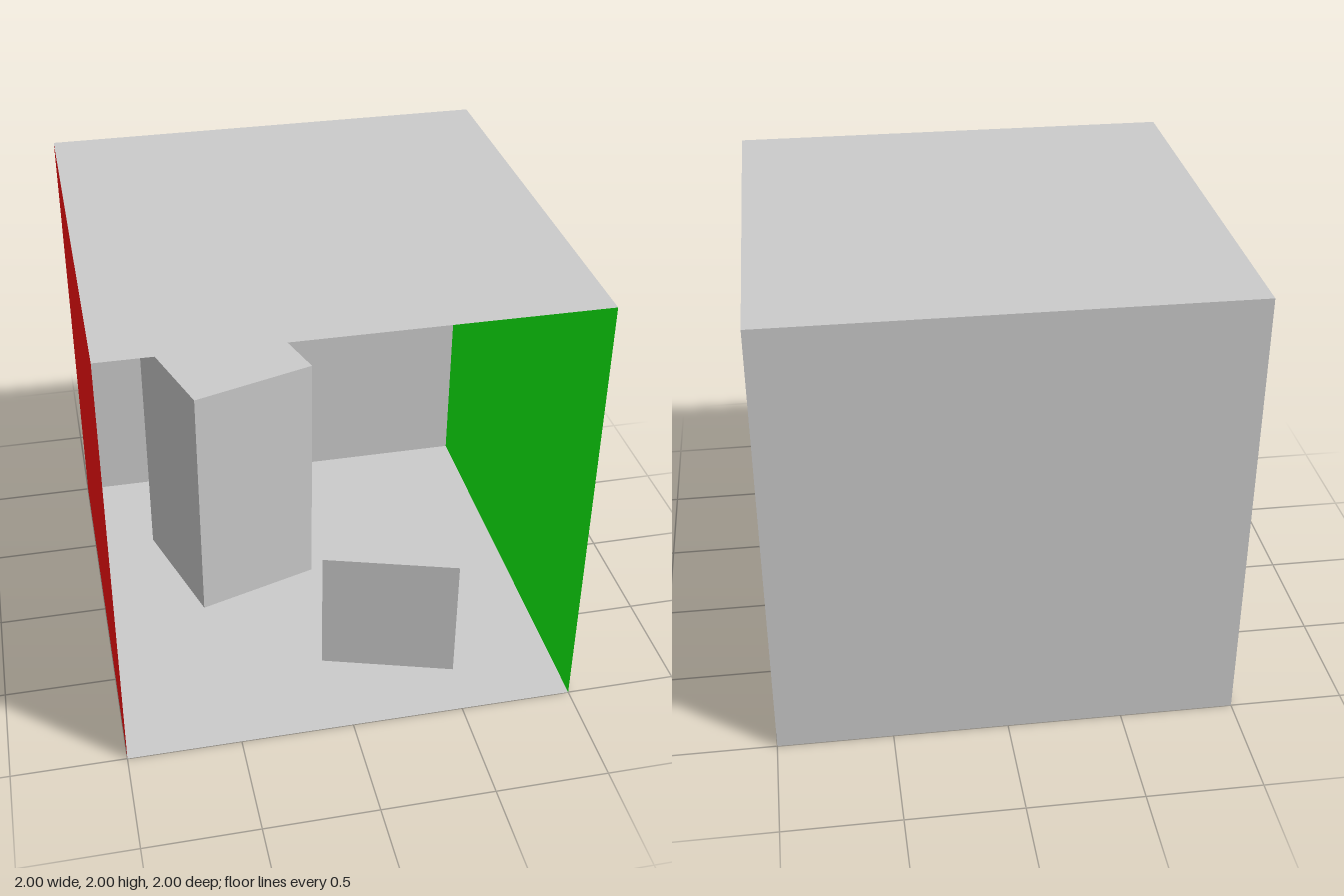
import * as THREE from 'three';

const GREY = 0xcccccc, RED = 0xff1111, GREEN = 0x11ff11;

export function createModel() {
  const model = new THREE.Group();
  model.name = 'openRoom';

  const add = (name, geometry, color, side = THREE.FrontSide) => {
    const mesh = new THREE.Mesh(geometry, new THREE.MeshStandardMaterial({ color, side }));
    mesh.name = name;
    model.add(mesh);
    return mesh;
  };

  // Room shell: five thin square panels facing inwards, open at the front
  const panel = (name, color, position, rx, ry) => {
    const mesh = add(name, new THREE.PlaneGeometry(2, 2), color, THREE.DoubleSide);
    mesh.position.set(...position);
    mesh.rotation.set(rx, ry, 0);
  };
  const quarter = Math.PI / 2;
  panel('floor', GREY, [0, 0, 0], -quarter, 0);
  panel('ceiling', GREY, [0, 2, 0], quarter, 0);
  panel('backWall', GREY, [0, 1, -1], 0, 0);
  panel('redWall', RED, [-1, 1, 0], 0, quarter);
  panel('greenWall', GREEN, [1, 1, 0], 0, -quarter);

  // Turned blocks: a footprint of [x, z] corners raised from the floor
  const block = (name, height, corners) => {
    const shape = new THREE.Shape(corners.map(([x, z]) => new THREE.Vector2(x, z)));
    const geometry = new THREE.ExtrudeGeometry(shape, { depth: height, bevelEnabled: false });
    geometry.rotateX(quarter).translate(0, height, 0);
    add(name, geometry, GREY);
  };
  block('shortBlock', 0.6, [[0.53, 0.75], [0.7, 0.17], [0.13, 0], [-0.05, 0.57]]);
  block('tallBlock', 1.2, [[-0.53, 0.09], [0.04, -0.09], [-0.14, -0.67], [-0.71, -0.49]]);

  return model;
}
